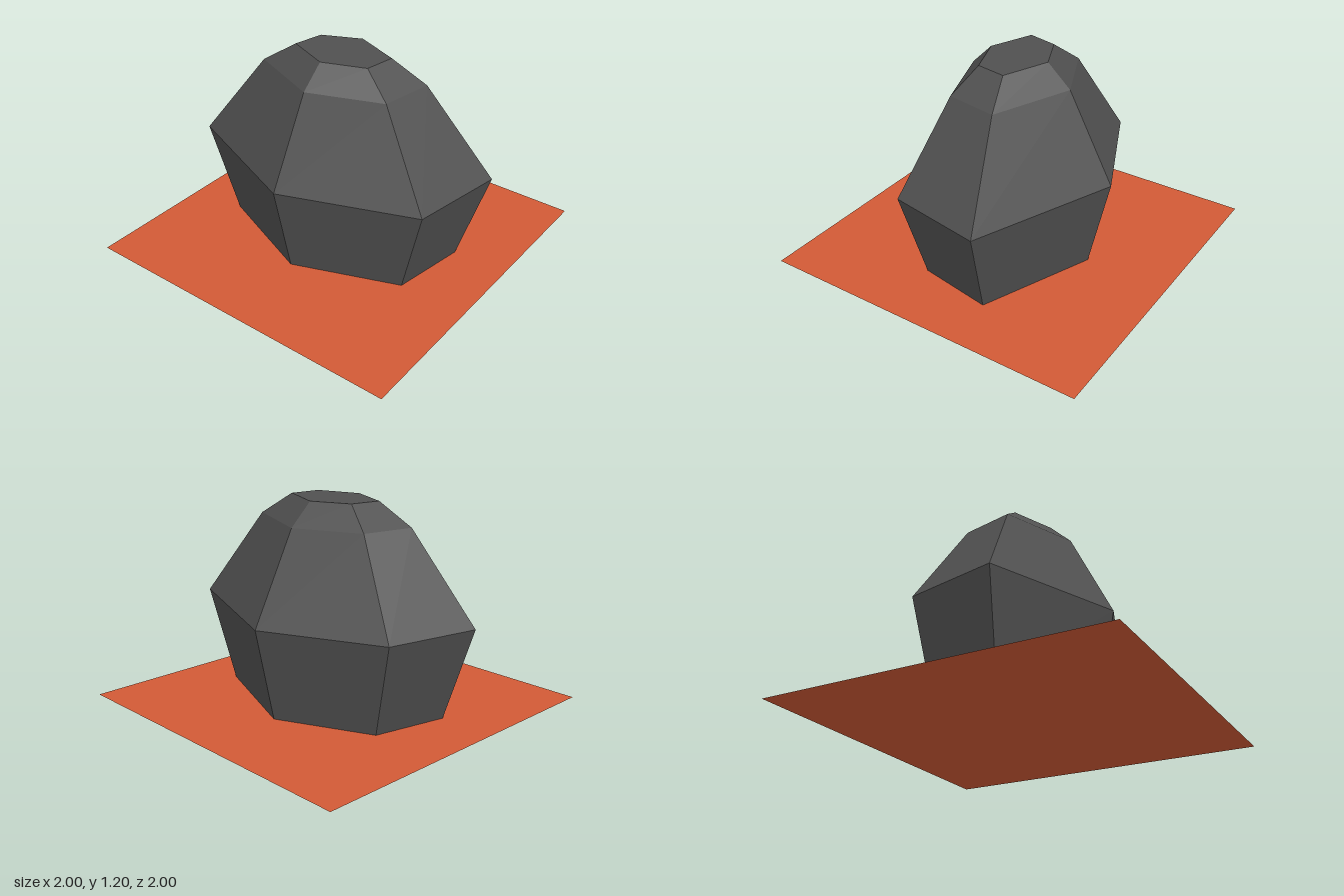
import * as THREE from 'three';

const rockMaterial = new THREE.MeshStandardMaterial({ color: 0x505050 });
rockMaterial.name = 'charcoal stone';
rockMaterial.flatShading = true;
const groundMaterial = new THREE.MeshStandardMaterial({ color: 0xd25a36, side: THREE.DoubleSide });
groundMaterial.name = 'orange clay';

// Irregular hexagon [x, z] at the widest level, counterclockwise from above
const outline = [[-0.83, 0.25], [-0.035, 0.572], [0.74, 0.285], [0.837, -0.275], [-0.015, -0.613], [-0.705, -0.3]];
// [height, scale of the outline] from foot to crown
const levels = [[0, 0.8], [0.55, 1], [1.07, 0.55], [1.2, 0.32]];

// Flat-faced loft through the scaled outlines, closed at the crown
function rockGeometry() {
  const positions = [];
  const n = outline.length;
  const rings = levels.map(([y, s]) => outline.map(([x, z]) => [x * s, y, z * s]));
  const triangle = (a, b, c) => positions.push(...a, ...b, ...c);

  for (let k = 0; k < rings.length - 1; k++) {
    const low = rings[k], high = rings[k + 1];
    for (let i = 0; i < n; i++) {
      const j = (i + 1) % n;
      triangle(low[i], low[j], high[j]);
      triangle(low[i], high[j], high[i]);
    }
  }
  const crown = rings[rings.length - 1];
  for (let i = 1; i < n - 1; i++) triangle(crown[0], crown[i], crown[i + 1]);

  const geometry = new THREE.BufferGeometry();
  geometry.setAttribute('position', new THREE.Float32BufferAttribute(positions, 3));
  geometry.computeVertexNormals();
  return geometry;
}

export function createModel() {
  const model = new THREE.Group();
  model.name = 'rockOnGround';

  const rock = new THREE.Mesh(rockGeometry(), rockMaterial);
  rock.name = 'rock';

  // Square sheet under the rock
  const ground = new THREE.Mesh(new THREE.PlaneGeometry(2, 2).rotateX(-Math.PI / 2), groundMaterial);
  ground.name = 'groundSheet';

  model.add(rock, ground);
  return model;
}
